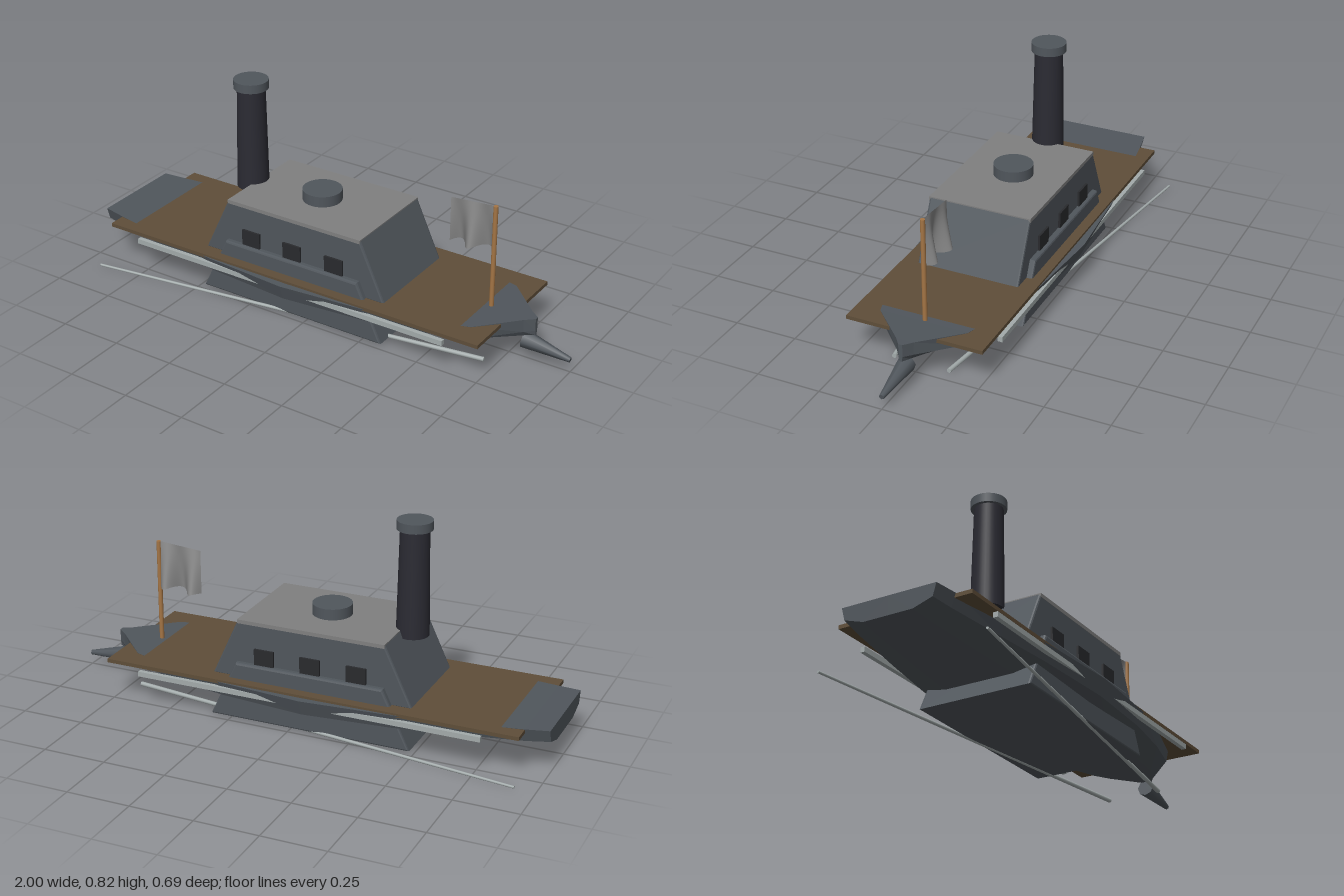
import * as THREE from 'three';

const mat = (name, color, side = THREE.FrontSide) => {
  const m = new THREE.MeshStandardMaterial({ color, side });
  m.name = name;
  return m;
};

export function createModel() {
  const boat = new THREE.Group();
  boat.name = 'ironcladBoat';

  const iron = mat('iron slate', 0x50565c);
  const soot = mat('funnel black', 0x2b2b33);
  const dark = mat('gun port dark', 0x292a2d);
  const wood = mat('deck wood', 0x5f4e39);
  const tan = mat('pole wood', 0xa47545);
  const roofGrey = mat('roof grey', 0x808080);
  const steel = mat('pale steel', 0xa3abab);
  const cloth = mat('flag cloth', 0x8a8a8a, THREE.DoubleSide);

  const add = (name, geo, material, x = 0, y = 0, z = 0) => {
    const m = new THREE.Mesh(geo, material);
    m.name = name;
    m.position.set(x, y, z);
    boat.add(m);
    return m;
  };

  // Tapered rod running between two points
  const rod = (name, a, b, ra, rb, sides, material) => {
    const dir = b.clone().sub(a);
    const c = a.clone().add(b).multiplyScalar(0.5);
    const m = add(name, new THREE.CylinderGeometry(rb, ra, dir.length(), sides), material, c.x, c.y, c.z);
    m.quaternion.setFromUnitVectors(new THREE.Vector3(0, 1, 0), dir.normalize());
  };

  // Hull: faceted loft through stations [x, half width, top, chine, bottom]
  const stations = [
    [-1.0, 0.19, 0.178, 0.13, 0.105],
    [-0.91, 0.205, 0.174, 0.122, 0.096],
    [-0.66, 0.242, 0.168, 0.112, 0.083],
    [-0.42, 0.275, 0.164, 0.105, 0.076],
    [-0.07, 0.3, 0.162, 0.1, 0.07],
    [0.27, 0.273, 0.164, 0.105, 0.074],
    [0.5, 0.23, 0.168, 0.11, 0.082],
    [0.68, 0.175, 0.173, 0.118, 0.092],
    [0.82, 0.035, 0.178, 0.126, 0.105],
    [0.855, 0.008, 0.18, 0.13, 0.11],
  ];
  const rings = stations.map(([x, w, top, chine, low]) => [
    [0, top], [w, top], [w * 0.93, chine], [w * 0.52, low],
    [0, low], [-w * 0.52, low], [-w * 0.93, chine], [-w, top],
  ].map(([z, y]) => [x, y, z]));
  const pos = [];
  const tri = (a, b, c) => pos.push(...a, ...b, ...c);
  for (let i = 0; i < rings.length - 1; i++) {
    for (let j = 0; j < 8; j++) {
      const k = (j + 1) % 8;
      const [a, b, c, d] = [rings[i][j], rings[i][k], rings[i + 1][k], rings[i + 1][j]];
      tri(a, b, c);
      tri(a, c, d);
    }
  }
  const stern = rings[0], bow = rings[rings.length - 1];
  for (let j = 1; j < 7; j++) {
    tri(stern[0], stern[j + 1], stern[j]);
    tri(bow[0], bow[j], bow[j + 1]);
  }
  // Wind every face outward from the hull's long axis
  const A = new THREE.Vector3(), B = new THREE.Vector3(), C = new THREE.Vector3();
  for (let i = 0; i < pos.length; i += 9) {
    A.fromArray(pos, i); B.fromArray(pos, i + 3); C.fromArray(pos, i + 6);
    const n = B.clone().sub(A).cross(C.clone().sub(A));
    const mid = A.clone().add(B).add(C).divideScalar(3);
    const core = new THREE.Vector3(THREE.MathUtils.clamp(mid.x, -0.95, 0.84), 0.142, 0);
    if (n.dot(mid.sub(core)) < 0) {
      C.toArray(pos, i + 3);
      B.toArray(pos, i + 6);
    }
  }
  const hull = new THREE.BufferGeometry();
  hull.setAttribute('position', new THREE.Float32BufferAttribute(pos, 3));
  hull.computeVertexNormals();
  add('hull', hull, iron);

  // Deck planking
  add('deck', new THREE.BoxGeometry(1.67, 0.015, 0.54), wood, -0.075, 0.1645, 0);

  // Sloped armour houses: same trapezoid, the lower one wider and passing through the hull
  const trapezoid = (name, y0, y1, halfZ) => {
    const bev = 0.008;
    const s = new THREE.Shape();
    s.moveTo(-0.485 + bev * 1.6, y0 + bev);
    s.lineTo(0.335 - bev * 1.6, y0 + bev);
    s.lineTo(0.225 - bev * 0.6, y1 - bev);
    s.lineTo(-0.372 + bev * 0.6, y1 - bev);
    s.closePath();
    const geo = new THREE.ExtrudeGeometry(s, {
      depth: 2 * (halfZ - bev), bevelEnabled: true, bevelSize: bev, bevelThickness: bev, bevelSegments: 2,
    });
    geo.translate(0, 0, bev - halfZ);
    add(name, geo, iron);
  };
  trapezoid('casemate', 0.165, 0.4, 0.207);
  trapezoid('lowerArmour', 0.005, 0.235, 0.23);

  // Roof plate and pilot house
  add('roof', new THREE.BoxGeometry(0.597, 0.015, 0.416), roofGrey, -0.073, 0.397, 0);
  add('pilotHouse', new THREE.CylinderGeometry(0.077, 0.077, 0.045, 32), iron, -0.075, 0.425, 0);

  // Funnel with cap
  add('funnel', new THREE.CylinderGeometry(0.055, 0.063, 0.42, 32), soot, -0.4, 0.585, 0);
  add('funnelCap', new THREE.CylinderGeometry(0.068, 0.068, 0.035, 32), iron, -0.4, 0.806, 0);

  // Mirrored side details
  for (const s of [1, -1]) {
    for (const x of [-0.262, -0.075, 0.113])
      add('gunPort', new THREE.BoxGeometry(0.08, 0.07, 0.009), dark, x, 0.263, s * 0.211);
    add('sideBeam', new THREE.BoxGeometry(1.39, 0.02, 0.018), steel, -0.075, 0.137, s * 0.271);
    rod('spar', new THREE.Vector3(-0.922, 0.01, s * 0.338), new THREE.Vector3(0.705, 0.01, s * 0.11),
      0.005, 0.009, 10, steel);
  }

  // Bow ram
  rod('ram', new THREE.Vector3(0.81, 0.079, 0), new THREE.Vector3(0.998, 0.051, 0), 0.035, 0.01, 8, iron);

  // Flag pole and rippling flag
  add('flagPole', new THREE.CylinderGeometry(0.009, 0.009, 0.413, 12), tan, 0.668, 0.3765, 0);
  const flag = new THREE.PlaneGeometry(0.18, 0.182, 32, 12);
  const p = flag.attributes.position;
  for (let i = 0; i < p.count; i++) {
    const u = p.getX(i), drop = 0.5 - p.getY(i) / 0.182;
    p.setZ(i, drop * (0.031 * Math.cos((u / 0.115) * Math.PI * 2) - 0.005));
    p.setY(i, p.getY(i) + u * 0.08 + drop * 0.006 * Math.sin(u * 60));
  }
  flag.computeVertexNormals();
  add('flag', flag, cloth, 0.575, 0.485, 0);

  return boat;
}
